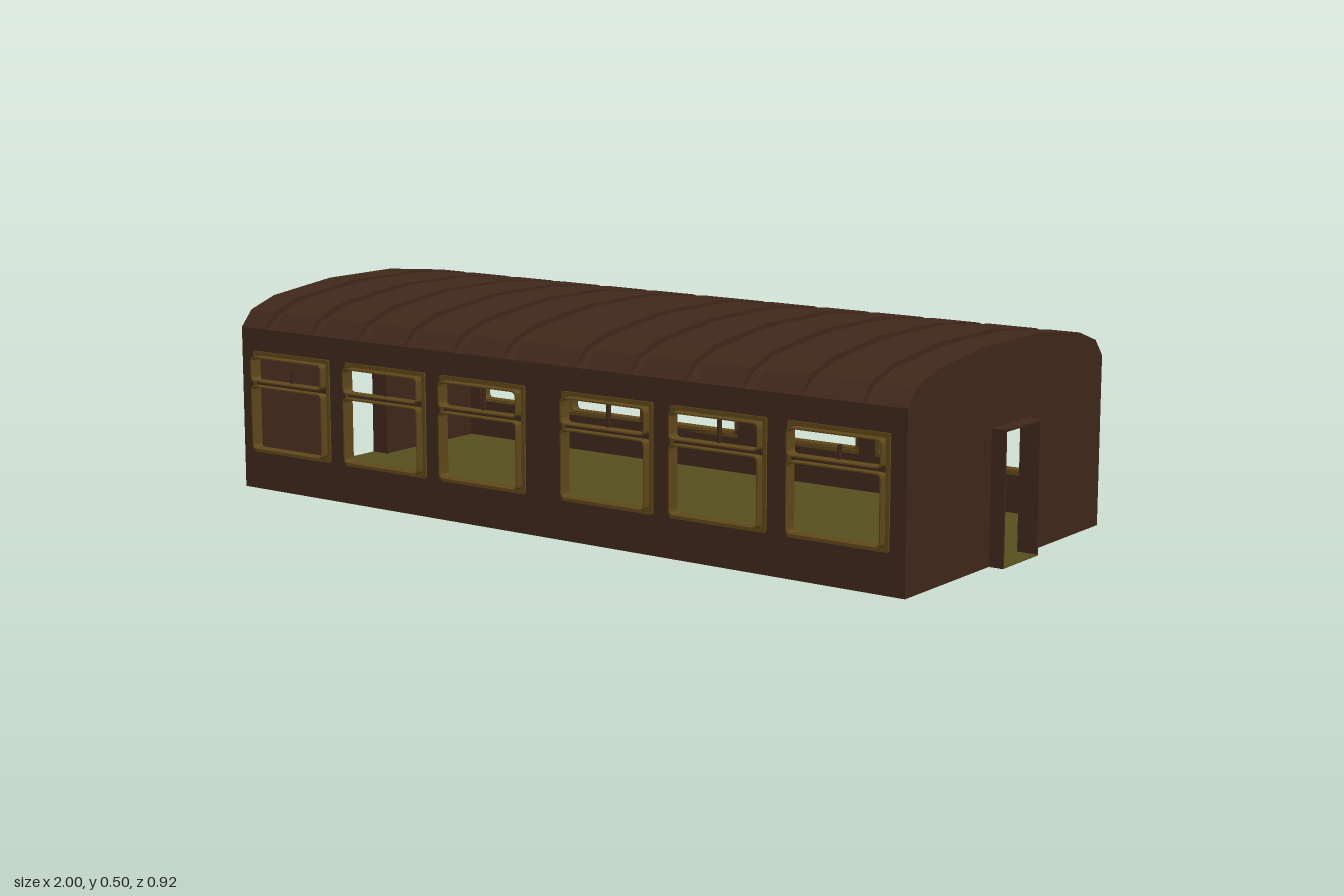
import * as THREE from 'three';

const brown = new THREE.MeshStandardMaterial({ color: 0x40271b, side: THREE.DoubleSide });
const brass = new THREE.MeshStandardMaterial({ color: 0x5f4719, side: THREE.DoubleSide });
const olive = new THREE.MeshStandardMaterial({ color: 0x574f1e, side: THREE.DoubleSide });

const HALF_X = 0.965, HALF_Z = 0.435, EAVES = 0.405;
const DOOR_W = 0.08, DOOR_H = 0.31;
const WINDOWS = [-0.797, -0.487, -0.183, 0.183, 0.487, 0.797];
// Half of the roof arch as [z, y], from the eaves to the crown
const ARCH = [[0.435, 0.405], [0.4, 0.445], [0.32, 0.472], [0.115, 0.495]];

function add(parent, name, geometry, material, x = 0, y = 0, z = 0) {
  const mesh = new THREE.Mesh(geometry, material);
  mesh.name = name;
  mesh.position.set(x, y, z);
  parent.add(mesh);
  return mesh;
}

function roundedRect(target, cx, y0, y1, width, r) {
  const x0 = cx - width / 2, x1 = cx + width / 2;
  target.moveTo(x0 + r, y0).lineTo(x1 - r, y0);
  target.quadraticCurveTo(x1, y0, x1, y0 + r).lineTo(x1, y1 - r);
  target.quadraticCurveTo(x1, y1, x1 - r, y1).lineTo(x0 + r, y1);
  target.quadraticCurveTo(x0, y1, x0, y1 - r).lineTo(x0, y0 + r);
  target.quadraticCurveTo(x0, y0, x0 + r, y0);
  return target;
}

const extrude = (shape, depth) =>
  new THREE.ExtrudeGeometry(shape, { depth, bevelEnabled: false, curveSegments: 4 });

// Rectangular ring with rounded corners
function ring(y0, y1, width, border, depth, r) {
  const shape = roundedRect(new THREE.Shape(), 0, y0, y1, width, r);
  shape.holes.push(roundedRect(new THREE.Path(), 0, y0 + border, y1 - border, width - 2 * border, r));
  return extrude(shape, depth);
}

// Full arch, moved inwards by d
function archPoints(d) {
  const half = ARCH.map(([z, y], i) => new THREE.Vector2(z - (i < 3 ? d : 0), y - (i > 0 ? d : 0)));
  return [...half, ...half.map((p) => new THREE.Vector2(-p.x, p.y)).reverse()];
}

// Extruded cross-section running along x from x0 to x1
function alongX(shape, x0, x1) {
  return extrude(shape, x1 - x0).rotateY(Math.PI / 2).translate(x0, 0, 0);
}

function createSide() {
  const side = new THREE.Group();
  side.name = 'sideWall';

  // Wall panel with window openings
  const panel = new THREE.Shape();
  panel.moveTo(-HALF_X, 0).lineTo(HALF_X, 0).lineTo(HALF_X, EAVES).lineTo(-HALF_X, EAVES).closePath();
  for (const x of WINDOWS) panel.holes.push(roundedRect(new THREE.Path(), x, 0.1, 0.342, 0.244, 0.015));
  add(side, 'wallPanel', extrude(panel, 0.012), brown, 0, 0, HALF_Z - 0.012);

  // Windows: outer frame, two projecting sashes, rail and mullion
  for (const x of WINDOWS) {
    const win = new THREE.Group();
    win.name = 'window';
    win.position.x = x;
    add(win, 'windowFrame', ring(0.094, 0.349, 0.257, 0.01, 0.016, 0.006), brass, 0, 0, 0.423);
    add(win, 'lowerSash', ring(0.104, 0.265, 0.238, 0.003, 0.03, 0.012), brass, 0, 0, 0.428);
    add(win, 'upperSash', ring(0.275, 0.338, 0.238, 0.003, 0.03, 0.012), brass, 0, 0, 0.428);
    add(win, 'rail', new THREE.BoxGeometry(0.238, 0.012, 0.012), brown, 0, 0.27, 0.431);
    const mullionHeight = Math.abs(x) > 0.7 ? 0.035 : 0.062;
    add(win, 'mullion', new THREE.BoxGeometry(0.006, mullionHeight, 0.01), brown,
      0, 0.275 + mullionHeight / 2, 0.431);
    side.add(win);
  }
  return side;
}

function createEnd() {
  const end = new THREE.Group();
  end.name = 'endWall';

  // Arched end panel with a doorway
  const panel = new THREE.Shape([
    [DOOR_W, 0], [HALF_Z, 0], ...ARCH,
    ...ARCH.map(([z, y]) => [-z, y]).reverse(), [-HALF_Z, 0],
    [-DOOR_W, 0], [-DOOR_W, DOOR_H], [DOOR_W, DOOR_H],
  ].map(([z, y]) => new THREE.Vector2(z, y)));
  add(end, 'endPanel', alongX(panel, HALF_X - 0.012, HALF_X), brown);

  // Projecting door surround and its threshold
  const surround = new THREE.Shape();
  const w = DOOR_W, t = 0.005;
  surround.moveTo(w - t, 0).lineTo(w, 0).lineTo(w, DOOR_H).lineTo(-w, DOOR_H).lineTo(-w, 0);
  surround.lineTo(t - w, 0).lineTo(t - w, DOOR_H - t).lineTo(w - t, DOOR_H - t).closePath();
  add(end, 'doorSurround', alongX(surround, 0.95, 1), brown);
  add(end, 'threshold', new THREE.BoxGeometry(0.04, 0.003, 2 * w), olive, 0.98, 0.0015, 0);
  return end;
}

function createRoof() {
  const roof = new THREE.Group();
  roof.name = 'roof';
  const strip = (outer) => new THREE.Shape([...archPoints(outer), ...archPoints(0.02).reverse()]);

  // Raised bands separated by narrow sunken grooves
  const grooves = [];
  for (let i = 0; i < 6; i++) {
    const x = 0.106 + i * 0.1527;
    grooves.push(-x, x);
  }
  grooves.sort((a, b) => a - b);
  let start = -HALF_X;
  for (const x of grooves) {
    add(roof, 'roofBand', alongX(strip(0), start, x - 0.016), brown);
    add(roof, 'roofGroove', alongX(strip(0.011), x - 0.016, x + 0.016), brown);
    start = x + 0.016;
  }
  add(roof, 'roofBand', alongX(strip(0), start, HALF_X), brown);
  return roof;
}

export function createModel() {
  const model = new THREE.Group();
  model.name = 'carriageBody';

  const front = createSide();
  const back = createSide();
  back.rotation.y = Math.PI;
  const leftEnd = createEnd();
  const rightEnd = createEnd();
  rightEnd.rotation.y = Math.PI;
  model.add(front, back, leftEnd, rightEnd, createRoof());

  // Floor
  add(model, 'floor', new THREE.BoxGeometry(2 * HALF_X - 0.002, 0.003, 2 * HALF_Z - 0.002), olive, 0, 0.0015, 0);
  return model;
}
